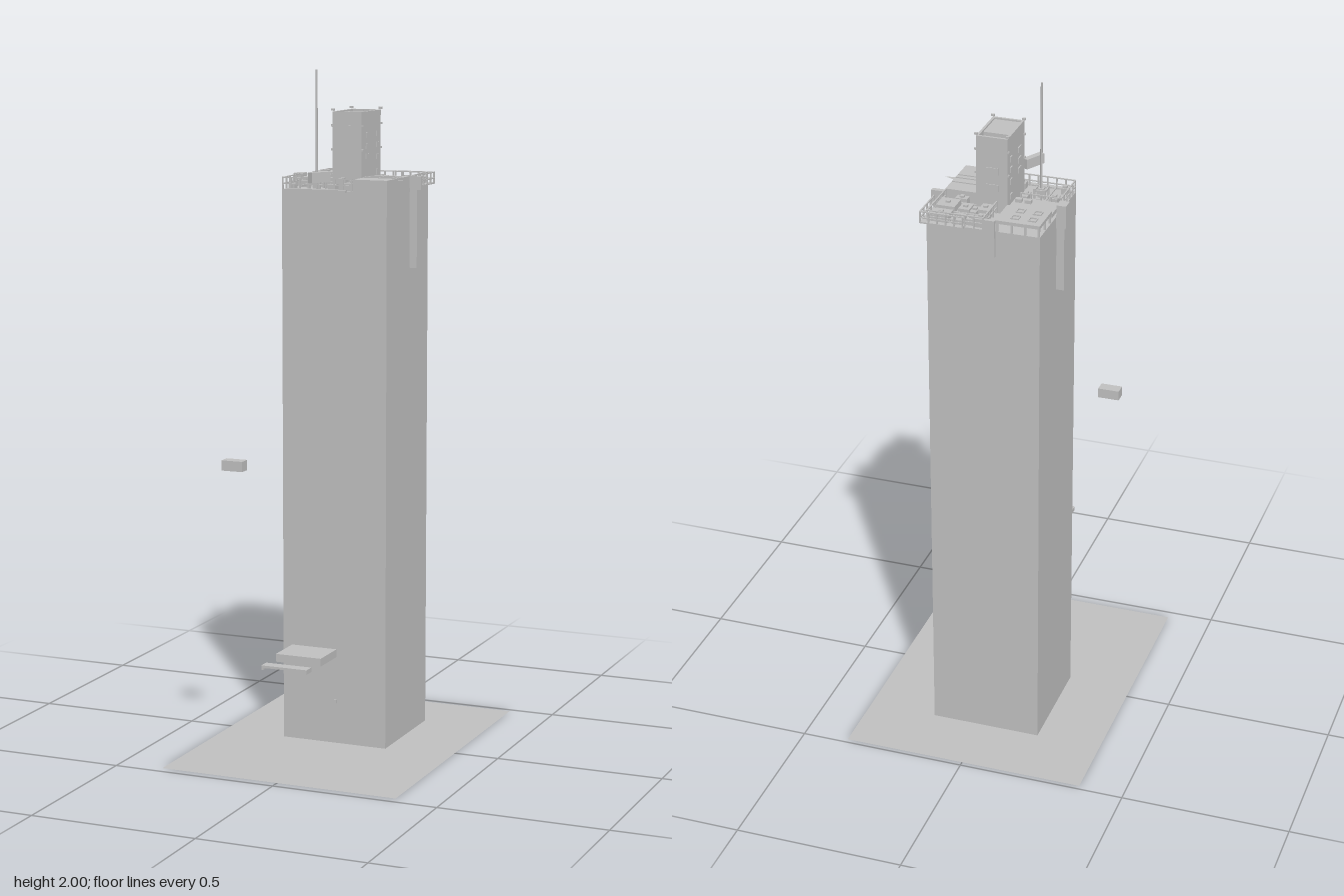
import * as THREE from 'three';

const concrete = new THREE.MeshStandardMaterial({ color: 0xc0c0c0, side: THREE.DoubleSide });
concrete.name = 'concrete grey';

// Box given by its limits on each axis
function box(parent, name, x0, x1, y0, y1, z0, z1) {
  const mesh = new THREE.Mesh(new THREE.BoxGeometry(x1 - x0, y1 - y0, z1 - z0), concrete);
  mesh.position.set((x0 + x1) / 2, (y0 + y1) / 2, (z0 + z1) / 2);
  mesh.name = name;
  parent.add(mesh);
  return mesh;
}

// Four walls around a rectangle
function walls(parent, name, x0, x1, y0, y1, z0, z1, t) {
  box(parent, name, x0, x1, y0, y1, z0, z0 + t);
  box(parent, name, x0, x1, y0, y1, z1 - t, z1);
  box(parent, name, x0, x0 + t, y0, y1, z0 + t, z1 - t);
  box(parent, name, x1 - t, x1, y0, y1, z0 + t, z1 - t);
}

// Post-and-rail fence through a list of [x, z] corners
function railing(parent, y, height, points) {
  const r = 0.002;
  for (let i = 0; i < points.length - 1; i++) {
    const [ax, az] = points[i], [bx, bz] = points[i + 1];
    const n = Math.max(1, Math.round(Math.hypot(bx - ax, bz - az) / 0.027));
    for (let k = 0; k <= n; k++) {
      const x = ax + (bx - ax) * k / n, z = az + (bz - az) * k / n;
      box(parent, 'railingPost', x - r, x + r, y, y + height, z - r, z + r);
    }
    for (const h of [height * 0.5, height]) {
      box(parent, 'railingBar', Math.min(ax, bx) - r, Math.max(ax, bx) + r, y + h - 0.003, y + h,
        Math.min(az, bz) - r, Math.max(az, bz) + r);
    }
  }
}

export function createModel() {
  const model = new THREE.Group();
  model.name = 'tower';
  const group = (name) => {
    const g = new THREE.Group();
    g.name = name;
    model.add(g);
    return g;
  };
  const roof = 1.655, top = 1.69;

  // Ground sheet and shaft
  const ground = new THREE.Mesh(new THREE.PlaneGeometry(0.73, 0.955).rotateX(-Math.PI / 2), concrete);
  ground.position.set(0, 0, -0.0075);
  ground.name = 'ground';
  model.add(ground);
  box(model, 'shaft', -0.17, 0.16, 0.001, roof, -0.285, 0.042);
  box(model, 'wallLamp', -0.004, 0.004, 0.125, 0.135, 0.042, 0.05);

  // Raised roof block at the front left
  const deck = group('roofDeck');
  box(deck, 'raisedRoof', 0.055, 0.16, roof, top, -0.13, 0.042);
  for (const z of [-0.08, -0.05, -0.03]) box(deck, 'roofSeam', 0.06, 0.158, top, top + 0.003, z - 0.001, z + 0.001);
  box(deck, 'frontLedge', -0.15, 0.035, roof - 0.004, roof + 0.004, 0.04, 0.055);

  // Fences around the open roof areas
  const fences = group('railings');
  railing(fences, roof, 0.036, [[0.05, 0.04], [-0.168, 0.04], [-0.168, -0.09], [-0.05, -0.09]]);
  railing(fences, roof, 0.036, [[-0.005, -0.17], [-0.005, -0.283], [0.158, -0.283], [0.158, -0.135]]);
  box(fences, 'overhangWalk', 0.05, 0.175, roof, roof + 0.004, -0.3, -0.283);
  box(fences, 'overhangWalk', 0.158, 0.175, roof, roof + 0.004, -0.283, -0.185);
  railing(fences, roof, 0.036, [[0.05, -0.298], [0.174, -0.298], [0.174, -0.185]]);

  // Platform on stilts with hatches
  const platform = group('stiltPlatform');
  box(platform, 'platformTop', -0.17, -0.04, top - 0.01, top, -0.287, -0.18);
  box(platform, 'lowerPlatform', -0.17, -0.04, top - 0.022, top - 0.01, -0.18, -0.1);
  for (const x of [-0.14, -0.09]) {
    for (const z of [-0.255, -0.21]) {
      walls(platform, 'hatchFrame', x - 0.012, x + 0.012, top, top + 0.004, z - 0.012, z + 0.012, 0.003);
    }
  }
  for (const x of [-0.166, -0.127, -0.088, -0.046]) {
    for (const z of [-0.282, -0.23, -0.185]) {
      box(platform, 'stilt', x - 0.003, x + 0.003, roof, top - 0.01, z - 0.003, z + 0.003);
    }
  }
  for (const x of [-0.085, -0.057]) box(platform, 'vent', x - 0.009, x + 0.009, top - 0.01, top, -0.135, -0.12);

  // Penthouse with parapet, roof well, windows and small wall fittings
  const house = group('penthouse');
  box(house, 'penthouseBody', -0.037, 0.055, roof, 1.85, -0.168, -0.022);
  box(house, 'upperRoof', -0.037, 0.055, 1.85, 1.875, -0.125, -0.022);
  walls(house, 'parapet', -0.037, 0.055, 1.85, 1.88, -0.168, -0.022, 0.007);
  box(house, 'stringCourse', -0.039, 0.055, 1.835, 1.84, -0.024, -0.02);
  const rows = [[-0.066, 1.75], [-0.066, 1.78], [-0.066, 1.812],
    [-0.14, 1.70], [-0.14, 1.745], [-0.14, 1.78], [-0.14, 1.812]];
  for (const [z, y] of rows) {
    for (const x of [-0.038, 0.056]) {
      const w = z < -0.1 ? 0.008 : 0.013;
      box(house, 'window', x - 0.002, x + 0.002, y - 0.008, y + 0.008, z - w, z + w);
    }
  }
  for (const y of [1.73, 1.78]) box(house, 'rearWindow', -0.01, 0.025, y - 0.01, y + 0.01, -0.17, -0.167);
  for (const y of [1.77, 1.84, 1.885]) {
    for (const x of [-0.037, 0.055]) {
      for (const z of [-0.165, -0.025]) box(house, 'bracket', x - 0.005, x + 0.005, y - 0.003, y + 0.003, z - 0.003, z + 0.003);
    }
  }

  // Rooftop machinery: [x0, x1, height, z0, z1]
  const machines = group('roofMachinery');
  const units = [
    [0.0, 0.022, 0.025, -0.275, -0.235], [0.026, 0.05, 0.018, -0.27, -0.24],
    [0.0, 0.03, 0.03, -0.225, -0.18], [0.036, 0.055, 0.02, -0.225, -0.185],
    [0.06, 0.09, 0.015, -0.275, -0.23], [0.1, 0.155, 0.022, -0.278, -0.232],
    [0.1, 0.155, 0.026, -0.222, -0.168], [0.06, 0.092, 0.02, -0.215, -0.175],
    [0.085, 0.12, 0.025, -0.16, -0.138],
    [-0.01, 0.015, 0.03, -0.018, 0.005], [0.02, 0.055, 0.022, -0.015, 0.03],
    [-0.03, -0.005, 0.018, 0.008, 0.032], [-0.15, -0.125, 0.02, -0.07, -0.04],
    [-0.155, -0.135, 0.018, 0.01, 0.03], [-0.065, -0.045, 0.02, -0.08, -0.04],
    [-0.12, -0.075, 0.012, -0.082, -0.07],
  ];
  for (const [x0, x1, h, z0, z1] of units) {
    box(machines, 'machineUnit', x0, x1, roof, roof + h, z0, z1);
    const x = (x0 + x1) / 2, z = (z0 + z1) / 2;
    box(machines, 'unitCap', x - 0.006, x + 0.006, roof + h, roof + h + 0.006, z - 0.006, z + 0.006);
  }
  for (const z of [-0.228, -0.165]) box(machines, 'pipe', 0, 0.155, roof + 0.012, roof + 0.016, z - 0.002, z + 0.002);
  for (const x of [-0.115, 0.094]) box(machines, 'pipe', x - 0.002, x + 0.002, roof + 0.008, roof + 0.012, x < 0 ? -0.085 : -0.28, x < 0 ? 0.03 : -0.14);

  // Mast on a small four-legged base
  const mast = group('mast');
  walls(mast, 'mastBase', -0.107, -0.07, roof + 0.022, roof + 0.027, -0.043, -0.007, 0.005);
  for (const x of [-0.104, -0.073]) {
    for (const z of [-0.04, -0.01]) box(mast, 'mastLeg', x - 0.003, x + 0.003, roof, roof + 0.03, z - 0.003, z + 0.003);
  }
  box(mast, 'mastFoot', -0.097, -0.08, roof, roof + 0.028, -0.033, -0.016);
  const pole = new THREE.Mesh(new THREE.CylinderGeometry(0.003, 0.004, 2 - roof, 6), concrete);
  pole.position.set(-0.0885, (2 + roof) / 2, -0.025);
  pole.name = 'mastPole';
  mast.add(pole);

  // Ducts hanging over the edges
  const ducts = group('hangingDucts');
  box(ducts, 'rightDuct', -0.193, -0.17, 1.43, top, -0.137, -0.124);
  box(ducts, 'rightDuctHead', -0.198, -0.17, 1.62, top, -0.14, -0.105);
  box(ducts, 'leftDuct', 0.16, 0.183, 1.42, 1.66, -0.149, -0.137);
  box(ducts, 'leftDuctHead', 0.16, 0.195, 1.65, top, -0.151, -0.137);
  box(ducts, 'rearDuct', -0.042, -0.01, 1.58, top, -0.296, -0.285);

  // Small pennant on the left edge
  const flag = new THREE.Shape([new THREE.Vector2(0.16, 0.055), new THREE.Vector2(0.195, 0.04), new THREE.Vector2(0.16, 0.037)]);
  const pennant = new THREE.Mesh(new THREE.ShapeGeometry(flag).rotateX(-Math.PI / 2), concrete);
  pennant.position.set(0, 1.685, 0);
  pennant.name = 'pennant';
  model.add(pennant);

  // Entrance canopy, open underneath, and the bar in front of it
  const canopy = group('canopy');
  box(canopy, 'canopyTop', -0.04, 0.1, 0.35, 0.355, 0.27, 0.385);
  walls(canopy, 'canopyRim', -0.04, 0.1, 0.332, 0.35, 0.27, 0.385, 0.003);
  box(canopy, 'frontBar', -0.04, 0.1, 0.339, 0.346, 0.452, 0.485);
  for (const x of [-0.04, 0.094]) box(canopy, 'barEnd', x, x + 0.006, 0.333, 0.339, 0.452, 0.485);

  // Free-standing boxes beside the tower
  box(model, 'sideBox', -0.235, -0.17, 0.865, 0.895, 0.293, 0.328);
  const upper = box(model, 'upperBox', -0.034, 0.034, 1.685, 1.715, -0.009, 0.009);
  upper.position.set(-0.02, 1.7, 0.113);
  upper.rotation.y = 1.08;
  return model;
}
